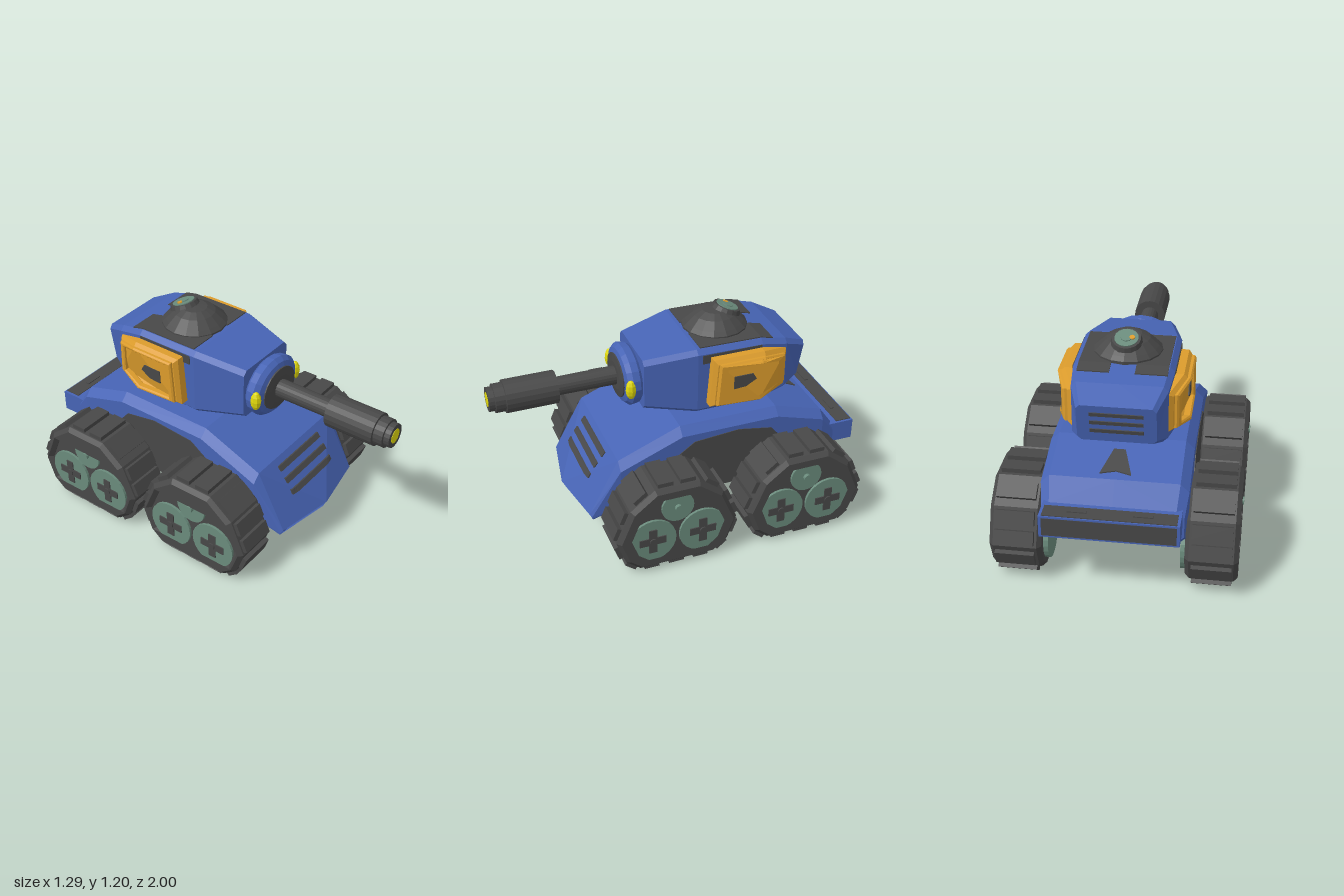
import * as THREE from 'three';

const mat = (name, color, flatShading = true) => {
  const m = new THREE.MeshStandardMaterial({ color, flatShading });
  m.name = name;
  return m;
};

export function createModel() {
  const model = new THREE.Group();
  model.name = 'tank';
  const blue = mat('blue armour', 0x4764b5);
  const dark = mat('dark grey', 0x484848);
  const green = mat('grey green', 0x6a8b7c);
  const orange = mat('orange', 0xdc9c2c);
  const yellow = mat('yellow', 0xe0d80c);

  const add = (name, geo, material, parent = model) => {
    const mesh = new THREE.Mesh(geo, material);
    mesh.name = name;
    parent.add(mesh);
    return mesh;
  };
  const box = (w, h, d, x, y, z) => new THREE.BoxGeometry(w, h, d).translate(x, y, z);
  // move every vertex by a rule
  const bend = (geo, rule) => {
    const p = geo.attributes.position, v = new THREE.Vector3();
    for (let i = 0; i < p.count; i++) {
      rule(v.fromBufferAttribute(p, i));
      p.setXYZ(i, v.x, v.y, v.z);
    }
    geo.computeVertexNormals();
    return geo;
  };
  // chamfered cross-section, listed clockwise from the top centre
  const ring = (z, yb, yt, w, c, bump = 0, slant = 0) => {
    const half = [[0, yt], [w - c, yt], [w, yt - c], [w, yb + c], [w - c, yb], [0, yb]];
    const all = [...half, ...half.slice(1, 5).reverse().map(([x, y]) => [-x, y])];
    return all.map(([x, y]) => [x, y, z + (x === 0 ? bump : 0) + slant * (yt - y) / (yt - yb)]);
  };
  // skin between cross-sections, rear to front, with both ends closed
  const loft = (rings) => {
    const n = rings[0].length, pos = rings.flat(2), idx = [];
    for (let i = 0; i < rings.length - 1; i++) {
      for (let j = 0; j < n; j++) {
        const a = i * n + j, b = i * n + (j + 1) % n, c = b + n, d = a + n;
        if (j < n / 2) idx.push(a, d, b, b, d, c);
        else idx.push(a, d, c, a, c, b);
      }
    }
    for (const [i, front] of [[0, false], [rings.length - 1, true]]) {
      const centre = pos.length / 3;
      for (let k = 0; k < 3; k++) pos.push(rings[i].reduce((s, p) => s + p[k], 0) / n);
      for (let j = 0; j < n; j++) {
        const a = i * n + j, b = i * n + (j + 1) % n;
        idx.push(centre, ...(front ? [b, a] : [a, b]));
      }
    }
    const geo = new THREE.BufferGeometry();
    geo.setAttribute('position', new THREE.Float32BufferAttribute(pos, 3));
    geo.setIndex(idx);
    geo.computeVertexNormals();
    return geo;
  };
  // slab with a [z, y] outline, running outward from x0 to x1 on one side
  const sideSlab = (side, pts, x0, x1, bevel = 0, hole = null) => {
    const vec = (list) => list.map(([z, y]) => new THREE.Vector2(-side * z, y));
    const shape = new THREE.Shape(vec(pts));
    if (hole) shape.holes.push(new THREE.Path(vec(hole)));
    return new THREE.ExtrudeGeometry(shape, {
      depth: x1 - x0 - 2 * bevel, bevelEnabled: bevel > 0, bevelSegments: 1,
      bevelSize: bevel, bevelThickness: bevel, bevelOffset: -bevel,
    }).translate(0, 0, x0 + bevel).rotateY(side * Math.PI / 2);
  };
  const scaled = (pts, k, cz, cy) => pts.map(([z, y]) => [cz + (z - cz) * k, cy + (y - cy) * k]);
  const axle = (side, r, x0, x1, y, z, n) => new THREE.CylinderGeometry(r, r, x1 - x0, n)
    .rotateZ(Math.PI / 2).translate(side * (x0 + x1) / 2, y, z);
  const latheZ = (pts, n) => new THREE.LatheGeometry(
    pts.map(([r, z]) => new THREE.Vector2(r, z)), n).rotateX(Math.PI / 2);

  // hull
  add('hull', loft([
    ring(-0.87, 0.3, 0.49, 0.36, 0.04),
    ring(-0.79, 0.24, 0.6, 0.375, 0.045),
    ring(-0.51, 0.24, 0.685, 0.375, 0.045),
    ring(0.05, 0.24, 0.685, 0.375, 0.045),
    ring(0.4, 0.23, 0.545, 0.375, 0.045),
    ring(0.57, 0.195, 0.235, 0.35, 0.015, 0.06, -0.02),
  ]), blue);
  // slits following the creased front plate
  for (const y of [0.5, 0.44, 0.38]) {
    add('frontSlit', bend(new THREE.BoxGeometry(0.38, 0.025, 0.009, 24, 1, 1).translate(0, y, 0), (v) => {
      const t = (0.545 - v.y) / 0.31, u = Math.abs(v.x) / 0.335;
      v.z += 0.403 + 0.23 * t - 0.06 * Math.max(0, u + t - 1);
    }), dark);
  }
  // triangular vent on the sloping rear deck
  const vent = new THREE.Shape([[-0.08, 0.76], [0, 0.74], [0.08, 0.76], [0.03, 0.6], [-0.03, 0.6]]
    .map(([x, y]) => new THREE.Vector2(x, y)));
  add('deckVent', bend(new THREE.ExtrudeGeometry(vent, { depth: 0.006, bevelEnabled: false })
    .rotateX(-Math.PI / 2), (v) => { v.y += 0.685 + (v.z + 0.51) * 0.304; }), dark);
  // rear locker
  add('rearLocker', box(0.7, 0.12, 0.15, 0, 0.43, -0.923), blue);
  add('rearLockerBack', box(0.67, 0.1, 0.004, 0, 0.43, -0.998), dark);
  add('rearLockerTop', box(0.67, 0.006, 0.09, 0, 0.491, -0.946), dark);
  add('rearLockerBase', box(0.67, 0.006, 0.09, 0, 0.369, -0.946), dark);

  // track pods and everything else that comes in pairs
  const track = [[-0.125, 0.525], [-0.26, 0.42], [-0.34, 0.23], [-0.29, 0.09], [-0.21, 0.025],
    [0.21, 0.025], [0.29, 0.09], [0.34, 0.23], [0.26, 0.42], [0.125, 0.525]];
  const podOutline = [[-0.13, 0.75], [-0.15, 1.03], [-0.44, 1.03], [-0.6, 0.99], [-0.6, 0.78], [-0.42, 0.735]];
  const hullPanel = [[0.1, 0.27], [0.1, 0.51], [-0.02, 0.595], [-0.275, 0.615], [-0.47, 0.58], [-0.53, 0.51], [-0.53, 0.27]];

  for (const side of [1, -1]) {
    const label = side > 0 ? 'left' : 'right';
    add(label + 'HullPanel', sideSlab(side, hullPanel, 0.373, 0.379), dark);
    add(label + 'LockerSlot', box(0.1, 0.006, 0.022, side * 0.165, 0.496, -0.94), dark);

    for (const [end, z0] of [['Front', 0.17], ['Rear', -0.575]]) {
      const pod = new THREE.Group();
      pod.name = label + end + 'Track';
      pod.position.z = z0;
      model.add(pod);
      const inner = scaled(track, 0.84, 0, 0.27);
      add('trackBelt', sideSlab(side, track, 0.365, 0.635, 0.022, inner), dark, pod);
      add('trackCore', sideSlab(side, scaled(track, 0.9, 0, 0.27), 0.385, 0.61), dark, pod);
      // tread pads along each edge of the belt
      track.forEach(([z, y], i) => {
        const [z2, y2] = track[(i + 1) % track.length];
        const dz = z2 - z, dy = y2 - y, len = Math.hypot(dz, dy);
        const count = Math.max(1, Math.round(len / 0.13));
        for (let k = 0; k < count; k++) {
          const f = (k + 0.5) / count;
          const pad = add('treadPad', new THREE.BoxGeometry(0.205, 0.048, Math.min(0.085, len / count * 0.7)), dark, pod);
          pad.position.set(side * 0.502, y + dy * f, z + dz * f);
          pad.rotation.x = Math.atan2(-dy, dz);
        }
      });
      // road wheels with cross-shaped hubs
      for (const z of [-0.142, 0.142]) {
        add('roadWheel', axle(side, 0.133, 0.34, 0.624, 0.2, z, 24), green, pod);
        add('hubCross', box(0.008, 0.045, 0.15, side * 0.626, 0.2, z), dark, pod);
        add('hubCross', box(0.008, 0.15, 0.045, side * 0.626, 0.2, z), dark, pod);
        add('hubCap', axle(side, 0.02, 0.62, 0.637, 0.2, z, 12), dark, pod);
      }
      add('topRoller', axle(side, 0.09, 0.34, 0.624, 0.39, 0, 24), green, pod);
      add('topRollerHub', axle(side, 0.02, 0.62, 0.643, 0.39, 0, 12), green, pod);
    }

    // orange side pod, thinning towards the rear
    const thin = (v) => { v.x -= side * 0.4 * Math.max(0, -0.44 - v.z); };
    const sidePod = new THREE.Group();
    sidePod.name = label + 'SidePod';
    model.add(sidePod);
    const at = (k) => scaled(podOutline, k, -0.36, 0.885);
    add('podBody', bend(sideSlab(side, podOutline, 0.23, 0.325, 0.02), thin), orange, sidePod);
    add('podFrame', bend(sideSlab(side, at(0.88), 0.3, 0.345, 0.008, at(0.72)), thin), orange, sidePod);
    add('podPort', sideSlab(side, [[-0.26, 0.92], [-0.37, 0.92], [-0.39, 0.885], [-0.33, 0.85], [-0.26, 0.845]],
      0.323, 0.329), dark, sidePod);

    // dark roof plate following the roof, and its strip down the side
    add(label + 'RoofPlate', bend(new THREE.BoxGeometry(0.165, 0.009, 0.42, 1, 1, 6).translate(side * 0.1475, 0, -0.31), (v) => {
      v.y += v.z < -0.45 ? 1.071 + (v.z + 0.45) * 0.233 : 1.076 + (v.z + 0.08) * 0.0135;
    }), dark);
    add(label + 'RoofStrip', box(0.006, 0.05, 0.34, side * 0.261, 1.02, -0.275), dark);

    // head lamp
    add(label + 'Lamp', new THREE.SphereGeometry(1, 8, 6).scale(0.028, 0.056, 0.03)
      .translate(side * 0.18, 0.872, 0.268), yellow);
  }

  // turret
  add('turretRing', new THREE.CylinderGeometry(0.22, 0.22, 0.03, 24).translate(0, 0.685, -0.22), dark);
  add('turret', loft([
    ring(-0.73, 0.76, 0.975, 0.2, 0.02, 0, 0.04),
    ring(-0.6, 0.725, 1.035, 0.245, 0.025),
    ring(-0.45, 0.69, 1.07, 0.26, 0.025),
    ring(-0.08, 0.69, 1.075, 0.26, 0.025),
    ring(0.2, 0.738, 1.03, 0.195, 0.025),
  ]), blue);
  for (const y of [0.925, 0.875, 0.825]) {
    const slit = add('turretRearSlit', new THREE.BoxGeometry(0.27, 0.02, 0.008), dark);
    slit.position.set(0, y, -0.732 + (0.975 - y) * 0.186);
    slit.rotation.x = -0.18;
  }

  // cupola with a tilted hatch
  add('cupola', new THREE.LatheGeometry([[0.18, 1.06], [0.18, 1.085], [0.16, 1.105], [0.115, 1.145], [0.07, 1.168], [0, 1.176]]
    .map(([r, y]) => new THREE.Vector2(r, y)), 16).translate(0, 0, -0.275), dark);
  const hatch = new THREE.Group();
  hatch.name = 'hatch';
  hatch.position.set(0, 1.156, -0.345);
  hatch.rotation.x = -0.35;
  model.add(hatch);
  add('hatchRim', new THREE.CylinderGeometry(0.075, 0.085, 0.03, 16), dark, hatch);
  add('hatchLid', new THREE.CylinderGeometry(0.062, 0.062, 0.008, 16).translate(0, 0.016, 0), green, hatch);
  add('hatchKnob', new THREE.CylinderGeometry(0.03, 0.03, 0.006, 12).translate(0, 0.022, 0), green, hatch);
  add('hatchLight', new THREE.CylinderGeometry(0.015, 0.015, 0.006, 8).translate(-0.03, 0.023, 0), orange, hatch);

  // gun
  const gun = new THREE.Group();
  gun.name = 'gun';
  gun.position.y = 0.868;
  model.add(gun);
  add('mantlet', latheZ([[0.16, 0.18], [0.195, 0.215], [0.2, 0.255], [0.175, 0.28], [0.13, 0.292], [0, 0.292]], 20)
    .scale(1, 0.82, 1), blue, gun);
  add('mantletCollar', latheZ([[0.14, 0.28], [0.14, 0.296], [0.09, 0.302], [0, 0.302]], 20).scale(1, 0.84, 1), dark, gun);
  add('barrel', latheZ([[0.052, 0.29], [0.05, 0.63], [0.09, 0.63], [0.09, 0.91], [0.078, 0.912],
    [0.078, 0.965], [0.066, 0.967], [0.066, 0.998], [0, 0.998]], 20), dark, gun);
  add('muzzle', latheZ([[0.04, 0.99], [0.04, 1], [0, 1]], 16), yellow, gun);

  return model;
}
